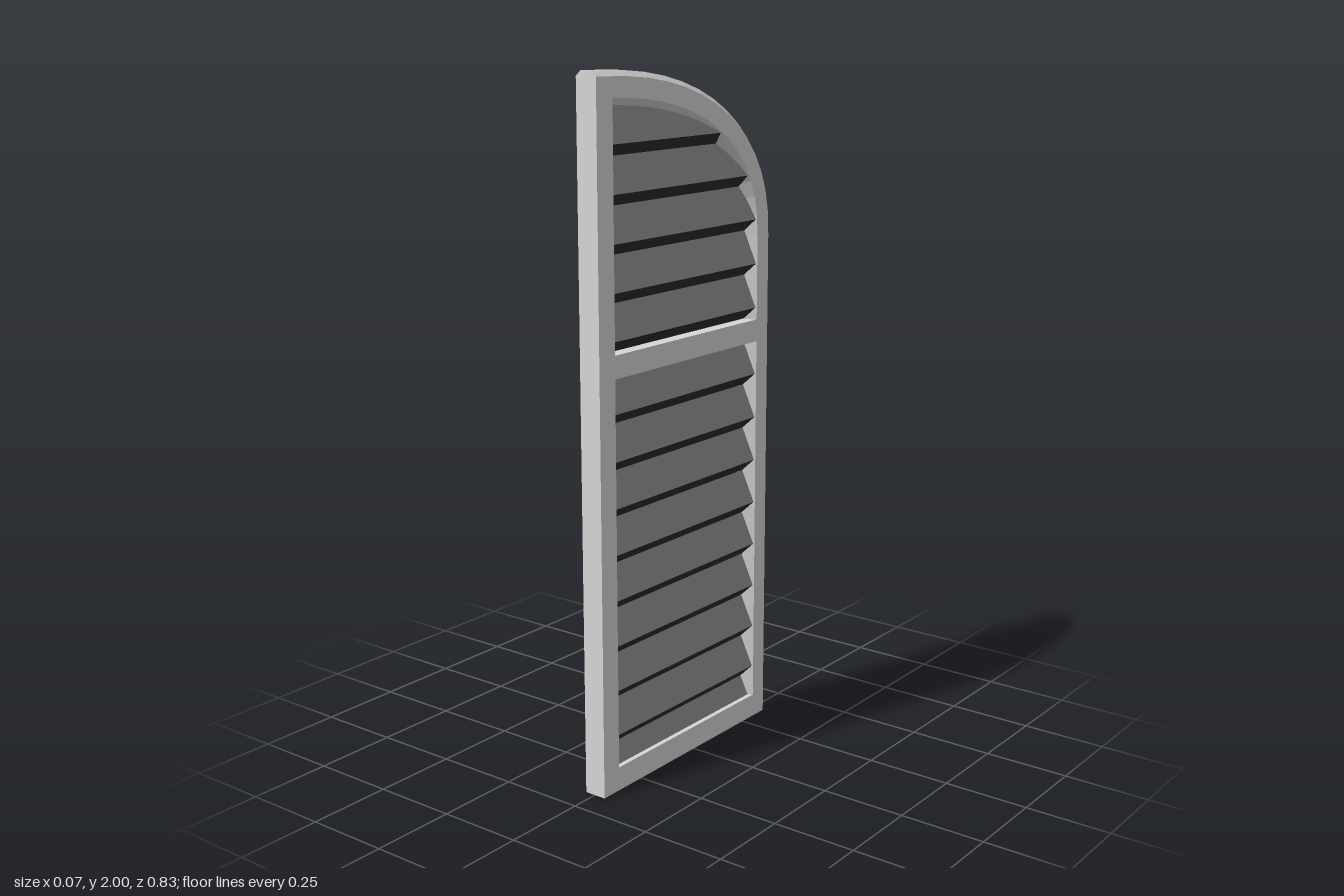
import * as THREE from 'three';

const CX = 0.0025;                 // middle of the frame thickness
const HALF = 0.0335;               // half of the frame thickness
const Z_FRONT = 0.415, Z_HINGE = -0.375;
const SPRING = 1.5, TOP = 2;       // where the arch starts and ends
const A = Z_FRONT - Z_HINGE, B = TOP - SPRING;
const POWER = 2.3;                 // fullness of the arch, 2 is an ellipse

// Closed solid through rings of [x, y, z] points, with convex end caps
function loft(rings) {
  const n = rings[0].length, tris = [];
  for (let i = 0; i < rings.length - 1; i++) {
    for (let j = 0; j < n; j++) {
      const k = (j + 1) % n;
      const a = rings[i][j], b = rings[i][k], c = rings[i + 1][k], d = rings[i + 1][j];
      tris.push([a, b, c], [a, c, d]);
    }
  }
  const first = rings[0], last = rings[rings.length - 1];
  for (let j = 1; j < n - 1; j++) {
    tris.push([first[0], first[j + 1], first[j]], [last[0], last[j], last[j + 1]]);
  }
  // make the faces point outwards
  const v = (p) => new THREE.Vector3(...p);
  const volume = tris.reduce((s, [a, b, c]) => s + v(a).dot(v(b).cross(v(c))), 0);
  if (volume < 0) tris.forEach((t) => t.reverse());
  const geo = new THREE.BufferGeometry();
  geo.setAttribute('position', new THREE.Float32BufferAttribute(tris.flat(2), 3));
  geo.computeVertexNormals();
  return geo;
}

// Slat end on the hinge side, hidden inside the frame
function slatEnd(y) {
  const inset = 0.04;
  if (y <= SPRING) return Z_HINGE + inset;
  const t = Math.min(1, (y - SPRING) / (B - inset));
  return Math.min(0.3, Z_FRONT - (A - inset) * (1 - t ** POWER) ** (1 / POWER));
}

export function createModel() {
  const group = new THREE.Group();
  const material = (name, color) => {
    const mat = new THREE.MeshStandardMaterial({ color });
    mat.name = name;
    return mat;
  };
  const frameMat = material('frame grey', 0xd6d6d6);
  const slatMat = material('slat grey', 0x8c8c8c);
  const darkMat = material('dark iron', 0x2b2b2b);

  const add = (name, geo, mat, x = 0, y = 0, z = 0) => {
    const mesh = new THREE.Mesh(geo, mat);
    mesh.name = name;
    mesh.position.set(x, y, z);
    group.add(mesh);
    return mesh;
  };

  // Hinge stile and arch: one bevelled section [inset, x] swept up and over
  const section = [
    [0, -0.0175], [0.015, -HALF], [0.07, -HALF], [0.09, 0],
    [0.07, HALF], [0.015, HALF], [0, 0.0175],
  ];
  const rings = [section.map(([d, x]) => [CX + x, 0, Z_HINGE + d])];
  const steps = 14;
  for (let i = 0; i <= steps; i++) {
    const t = (i / steps) * Math.PI / 2;
    const up = Math.sin(t) ** (2 / POWER);
    const out = Math.max(0, Math.cos(t)) ** (2 / POWER);
    rings.push(section.map(([d, x]) => [
      CX + x, SPRING + (B - d) * up, Z_FRONT - (A - d) * out,
    ]));
  }
  add('archedStile', loft(rings), frameMat);

  // Straight stile with a bevelled inner edge
  const stile = [[Z_FRONT, -HALF], [0.35, -HALF], [0.335, 0], [0.35, HALF], [Z_FRONT, HALF]];
  add('straightStile', loft([0, 1.95].map((y) => stile.map(([z, x]) => [CX + x, y, z]))), frameMat);

  // Rails
  const rail = (name, y0, y1) => {
    const z0 = Z_HINGE + 0.04, z1 = 0.39;
    add(name, new THREE.BoxGeometry(HALF * 2, y1 - y0, z1 - z0), frameMat,
      CX, (y0 + y1) / 2, (z0 + z1) / 2);
  };
  rail('bottomRail', 0, 0.07);
  rail('middleRail', 1.19, 1.255);

  // Sloping slats, cut to follow the arch: grey on top, dark underneath
  const slat = (y) => {
    const rise = Math.min(0.099, 1.955 - y);
    const run = 0.03 * rise / 0.099;
    const corners = [
      [0.03, y], [0.03 - run, y + rise], [-run, y + rise - 0.033], [0, y - 0.033],
    ];
    const geo = loft([
      corners.map(([x, cy]) => [CX + x, cy, 0.38]),
      corners.map(([x, cy]) => [CX + x, cy, slatEnd(cy)]),
    ]);
    geo.addGroup(0, 12, 0);    // outer face and upper edge
    geo.addGroup(12, 24, 1);   // underside, lower edge and hidden ends
    add('slat', geo, [slatMat, darkMat]);
  };
  for (let i = 0; i < 9; i++) slat(0.0335 + 0.1322 * i);
  for (let i = 0; i < 6; i++) slat(1.29 + 0.13 * i);

  // Hinge barrels: square posts turned on edge
  for (const [name, y] of [['lowerHinge', 0.168], ['upperHinge', 1.288]]) {
    add(name, new THREE.BoxGeometry(0.0305, 0.198, 0.0305), darkMat, -0.015, y, -0.394)
      .rotation.y = Math.PI / 4;
  }
  return group;
}
